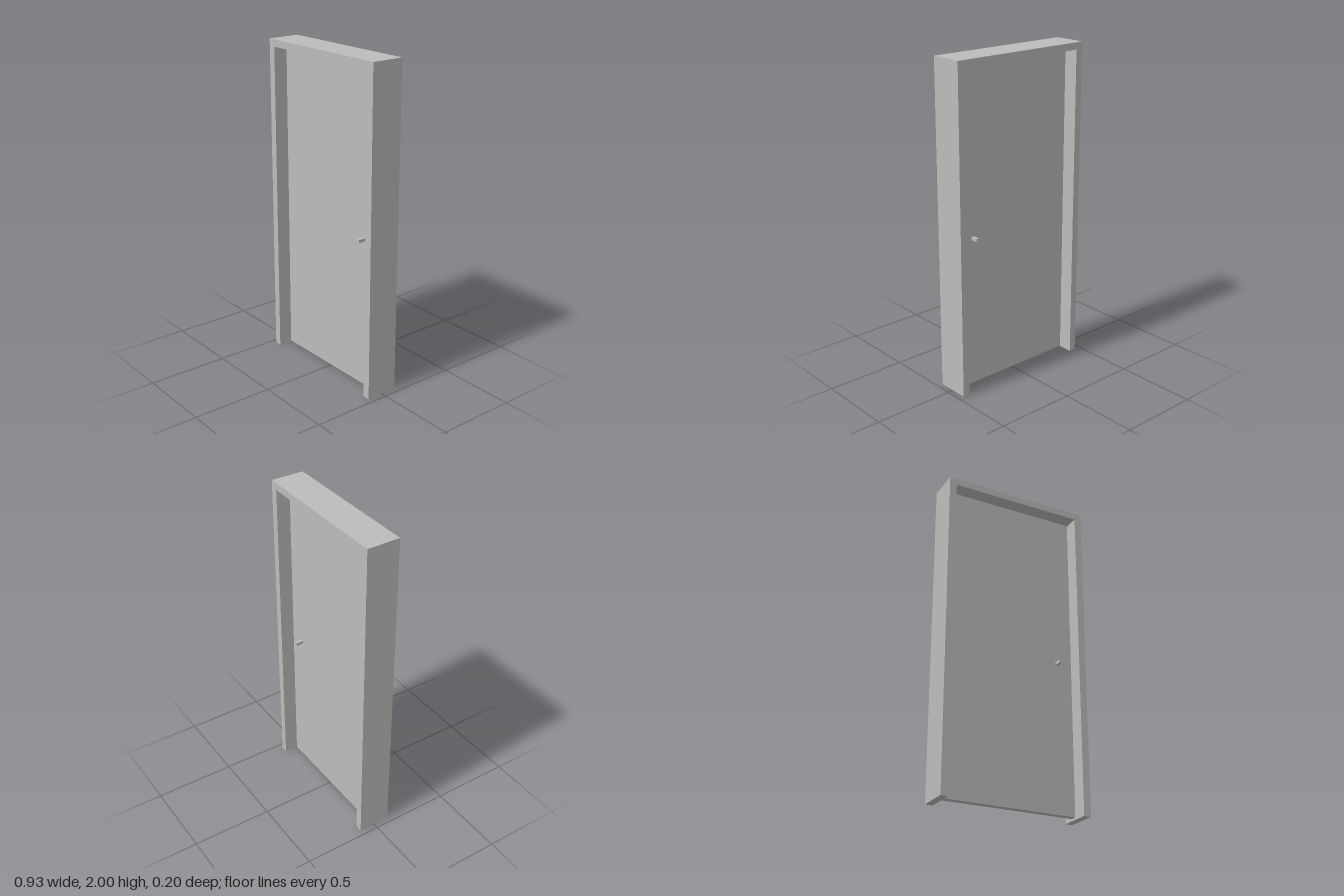
import * as THREE from 'three';

export function createModel() {
  const group = new THREE.Group();
  const grey = new THREE.MeshStandardMaterial({ color: 0xbcbcba });
  grey.name = 'plain grey';

  const add = (name, geometry, x = 0, y = 0, z = 0) => {
    const mesh = new THREE.Mesh(geometry, grey);
    mesh.name = name;
    mesh.position.set(x, y, z);
    group.add(mesh);
  };

  // Frame: an upside-down U, open at the floor
  const outer = 0.465, inner = 0.42, head = 1.957, depth = 0.204;
  const outline = new THREE.Shape([
    [-outer, 0], [-inner, 0], [-inner, head], [inner, head],
    [inner, 0], [outer, 0], [outer, 2], [-outer, 2],
  ].map(([x, y]) => new THREE.Vector2(x, y)));
  const frame = new THREE.ExtrudeGeometry(outline, { depth, bevelEnabled: false });
  add('doorFrame', frame, 0, 0, -depth / 2);

  // Door leaf, with a small gap all round
  const bottom = 0.01, top = 1.949;
  add('doorLeaf', new THREE.BoxGeometry(0.822, top - bottom, 0.04), 0, (top + bottom) / 2, 0);

  // Square handle on each face
  for (const side of [1, -1]) {
    add(side > 0 ? 'frontHandle' : 'backHandle',
      new THREE.BoxGeometry(0.019, 0.019, 0.046), 0.313, 0.945, side * 0.043);
  }

  return group;
}
